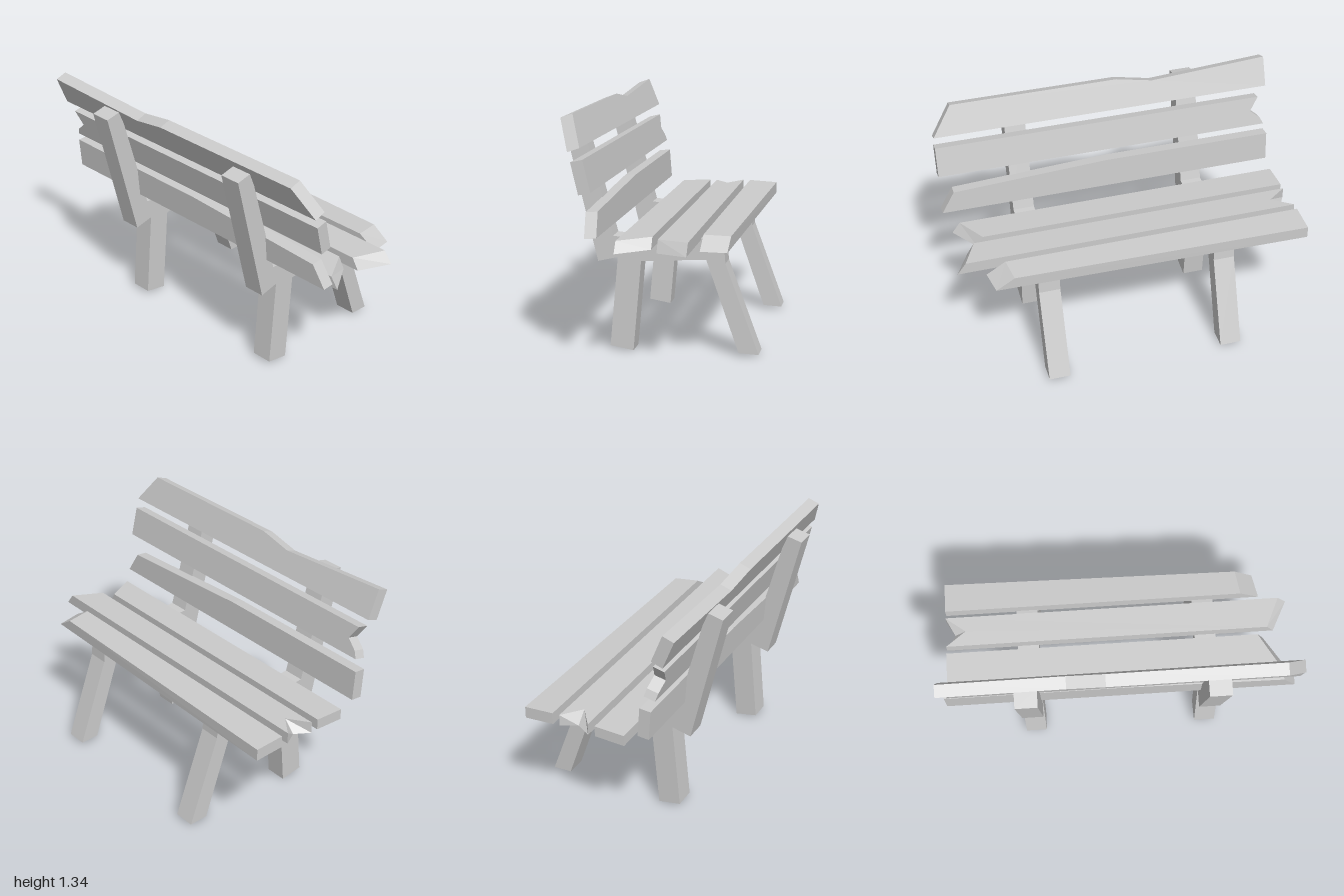
import * as THREE from 'three';

const material = new THREE.MeshStandardMaterial({ color: 0xcccccc, flatShading: true });

// A board running along z. a and b are the [x, y] edges of its show face, t the [x, y] thickness
// offset, and each outline point is [z, u] with u from 0 at a to 1 at b.
function board(name, a, b, t, front, back = front) {
  const flip = THREE.ShapeUtils.isClockWise(front.map(p => new THREE.Vector2(...p)));
  const f = flip ? [...front].reverse() : front;
  const k = flip ? [...back].reverse() : back;
  const n = f.length, pos = [], index = [];
  const place = ([z, u], s) =>
    pos.push(a[0] + (b[0] - a[0]) * u + t[0] * s, a[1] + (b[1] - a[1]) * u + t[1] * s, z);
  f.forEach(p => place(p, 0));
  k.forEach(p => place(p, 1));
  const caps = o => THREE.ShapeUtils.triangulateShape(o.map(p => new THREE.Vector2(...p)), []);
  caps(f).forEach(([p, q, r]) => index.push(p, q, r));
  caps(k).forEach(([p, q, r]) => index.push(n + r, n + q, n + p));
  for (let i = 0; i < n; i++) {
    const j = (i + 1) % n;
    index.push(i, n + i, n + j, i, n + j, j);
  }
  const indexed = new THREE.BufferGeometry();
  indexed.setAttribute('position', new THREE.Float32BufferAttribute(pos, 3));
  indexed.setIndex(index);
  const geometry = indexed.toNonIndexed();
  geometry.computeVertexNormals();
  const mesh = new THREE.Mesh(geometry, material);
  mesh.name = name;
  return mesh;
}

export function createModel() {
  const bench = new THREE.Group();
  bench.name = 'bench';

  // Side frames: backrest post, seat rail and both legs in one outline
  const outline = new THREE.Shape([
    [-0.54, 1.265], [-0.355, 0.5], [-0.245, 0.527], [-0.29, 0.025], [-0.16, 0.003],
    [-0.115, 0.51], [0.245, 0.533], [0.425, 0.02], [0.535, 0.015], [0.35, 0.515],
    [0.34, 0.64], [0.24, 0.65], [-0.12, 0.63], [-0.27, 0.645], [-0.445, 1.288],
  ].map(p => new THREE.Vector2(...p)));
  for (const [name, z] of [['frontSideFrame', 0.445], ['rearSideFrame', -0.588]]) {
    const frame = new THREE.Mesh(
      new THREE.ExtrudeGeometry(outline, { depth: 0.123, bevelEnabled: false }), material);
    frame.position.z = z;
    frame.name = name;
    bench.add(frame);
  }

  // Backrest boards, with worn top edges and a split end
  bench.add(
    board('topBackBoard', [-0.405, 1.347], [-0.34, 1.185], [-0.065, -0.023],
      [[0.87, 0], [0.985, 1], [-1, 1], [-1, 0], [-0.31, 0.22], [-0.1, 0]]),
    board('middleBackBoard', [-0.325, 1.125], [-0.285, 0.955], [-0.065, -0.015],
      [[0.985, 0], [0.985, 1], [-0.98, 1], [-0.96, 0.76], [-0.9, 0.47], [-0.95, 0]]),
    board('lowerBackBoard', [-0.27, 0.89], [-0.257, 0.718], [-0.065, -0.006],
      [[0.91, 0.265], [0.985, 1], [-1, 1], [-1, 0], [0, 0]]));

  // Seat boards, with slanted ends and a notch in the middle one
  bench.add(
    board('rearSeatBoard', [-0.175, 0.692], [0, 0.7], [0, -0.062],
      [[0.905, 0], [0.805, 1], [-1, 1], [-1, 0]],
      [[0.95, 0], [0.84, 1], [-1, 1], [-1, 0]]),
    board('middleSeatBoard', [0.042, 0.7], [0.216, 0.707], [0, -0.066],
      [[0.865, 0], [0.945, 1], [-1, 1], [-0.885, 0.5], [-1, 0]],
      [[0.905, 0], [0.995, 1], [-1, 1], [-0.95, 0.5], [-1, 0]]),
    board('frontSeatBoard', [0.258, 0.706], [0.43, 0.697], [0, -0.068],
      [[0.73, 0], [0.71, 0.84], [-1, 1], [-1, 0]],
      [[0.84, 0], [0.815, 0.82], [-1, 1], [-1, 0]]));

  return bench;
}
